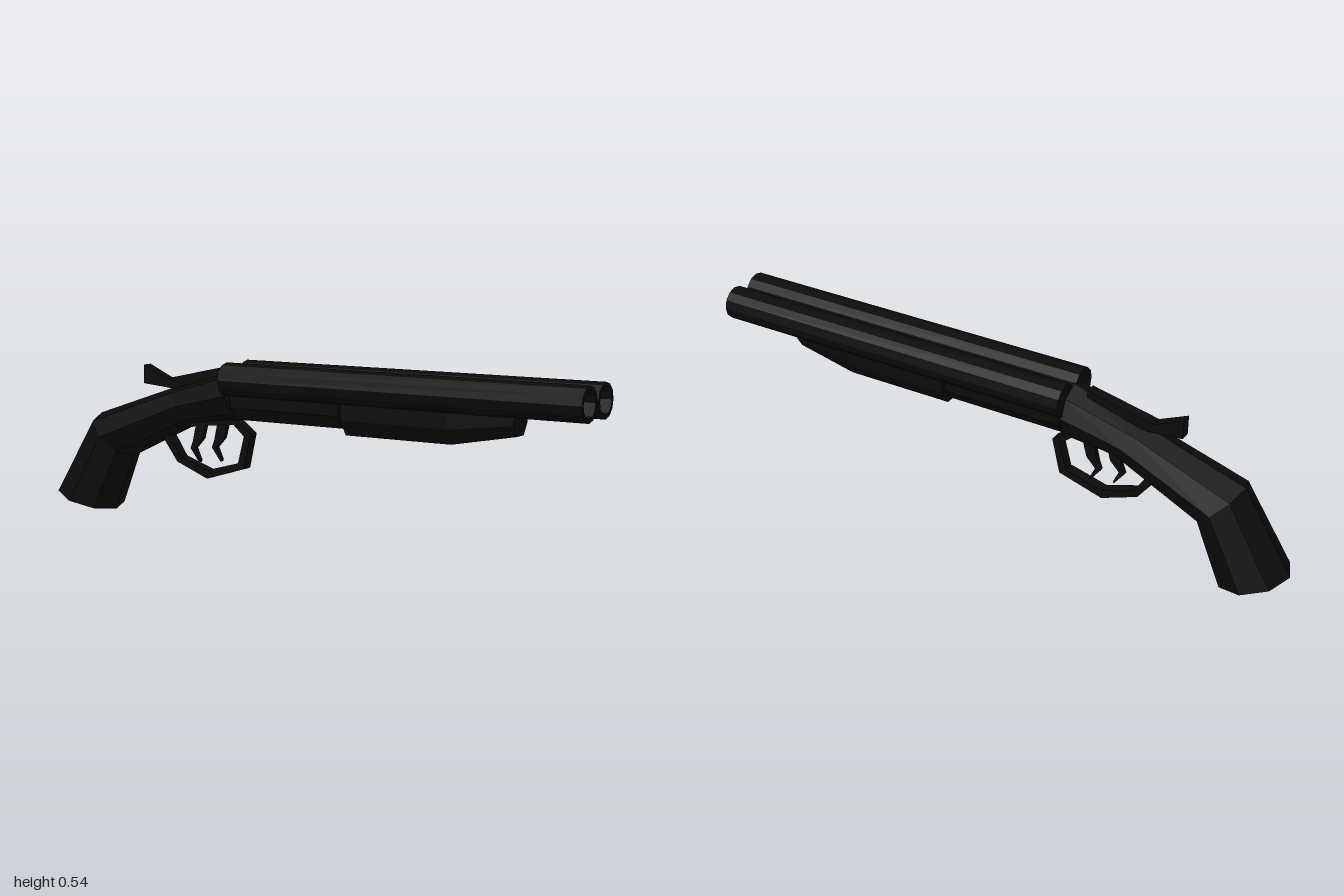
import * as THREE from 'three';

const blackMetal = new THREE.MeshStandardMaterial({ color: 0x0b0b0b, flatShading: true });
blackMetal.name = 'black';

function mesh(name, geometry) {
  const m = new THREE.Mesh(geometry, blackMetal);
  m.name = name;
  return m;
}

// Side outline in x/y, given thickness centred on z
function plate(name, outline, width, hole) {
  const toPoints = (list) => list.map(([x, y]) => new THREE.Vector2(x, y));
  const shape = new THREE.Shape(toPoints(outline));
  if (hole) shape.holes.push(new THREE.Path(toPoints(hole)));
  const g = new THREE.ExtrudeGeometry(shape, { depth: width, bevelEnabled: false });
  g.translate(0, 0, -width / 2);
  return mesh(name, g);
}

// Skin over sections [topX, topY, bottomX, bottomY, halfWidth] that share one unit profile [up, side]
function loft(name, sections, profile) {
  const n = profile.length;
  const rings = sections.map(([tx, ty, bx, by, w]) => profile.map(([u, s]) => [
    (tx + bx) / 2 + u * (tx - bx) / 2, (ty + by) / 2 + u * (ty - by) / 2, s * w]));
  const middle = ([tx, ty, bx, by]) => [(tx + bx) / 2, (ty + by) / 2, 0];
  const first = middle(sections[0]), last = middle(sections[sections.length - 1]);
  const pos = [];
  const tri = (...corners) => corners.forEach((p) => pos.push(...p));
  for (let j = 0; j < n; j++) {
    const k = (j + 1) % n;
    for (let i = 0; i < rings.length - 1; i++) {
      const a = rings[i], b = rings[i + 1];
      tri(a[j], a[k], b[k]);
      tri(a[j], b[k], b[j]);
    }
    const end = rings[rings.length - 1];
    tri(first, rings[0][k], rings[0][j]);
    tri(last, end[j], end[k]);
  }
  const g = new THREE.BufferGeometry();
  g.setAttribute('position', new THREE.Float32BufferAttribute(pos, 3));
  g.computeVertexNormals();
  return mesh(name, g);
}

export function createModel() {
  const group = new THREE.Group();
  group.name = 'shortDoubleBarrel';

  // Pair of twelve-sided barrels with recessed bores
  const length = 1.257, r = 0.0545, bore = 0.042;
  const profile = [[0, 0], [r, 0], [r, length], [bore, length], [bore, length - 0.25], [0, length - 0.25]]
    .map(([x, y]) => new THREE.Vector2(x, y));
  for (const side of [1, -1]) {
    const barrel = mesh(side > 0 ? 'frontBarrel' : 'backBarrel', new THREE.LatheGeometry(profile, 12));
    barrel.rotation.z = -Math.PI / 2;
    barrel.position.set(1 - length, 0.488, side * 0.057);
    group.add(barrel);
  }

  // Eight-sided grip running up into the receiver
  const octagon = Array.from({ length: 8 }, (_, i) => [Math.cos(i * Math.PI / 4), Math.sin(i * Math.PI / 4)]);
  group.add(loft('gripAndReceiver', [
    [-1, 0.07, -0.775, 0.004, 0.117],
    [-0.835, 0.335, -0.695, 0.195, 0.098],
    [-0.49, 0.45, -0.42, 0.325, 0.075],
    [-0.257, 0.519, -0.245, 0.35, 0.082],
  ], octagon));

  // Wooden-style fore-end and the narrower block behind it
  const trough = [[1, 1], [-0.2, 1], [-1, 0.5], [-1, -0.5], [-0.2, -1], [1, -1]];
  group.add(loft('foreEnd', [
    [0.18, 0.46, 0.18, 0.336, 0.066],
    [0.55, 0.46, 0.55, 0.336, 0.066],
    [0.76, 0.46, 0.76, 0.374, 0.045],
  ], trough));
  group.add(loft('barrelBlock', [
    [-0.242, 0.46, -0.235, 0.356, 0.066],
    [0.17, 0.46, 0.17, 0.356, 0.066],
  ], trough));

  // Thumb lever with its top strap
  group.add(plate('topLever', [
    [-0.63, 0.45], [-0.51, 0.44], [-0.31, 0.48], [-0.31, 0.52], [-0.535, 0.471], [-0.63, 0.513],
  ], 0.036));

  // Trigger guard loop
  group.add(plate('triggerGuard', [
    [-0.565, 0.29], [-0.493, 0.195], [-0.37, 0.148], [-0.22, 0.193], [-0.193, 0.31], [-0.25, 0.352], [-0.42, 0.345],
  ], 0.036, [
    [-0.53, 0.29], [-0.42, 0.32], [-0.26, 0.335], [-0.219, 0.3], [-0.243, 0.21], [-0.37, 0.176], [-0.478, 0.212],
  ]));

  // Two curved triggers
  [[-0.39, 0.325, 0.012], [-0.32, 0.33, -0.012]].forEach(([x, y, z], i) => {
    const trigger = plate(i ? 'rearTrigger' : 'frontTrigger', [
      [-0.02, 0.01], [-0.035, -0.055], [-0.045, -0.08], [-0.01, -0.125],
      [-0.008, -0.117], [-0.026, -0.078], [0.005, -0.045], [0.02, 0.01],
    ], 0.016);
    trigger.position.set(x, y, z);
    group.add(trigger);
  });

  return group;
}
